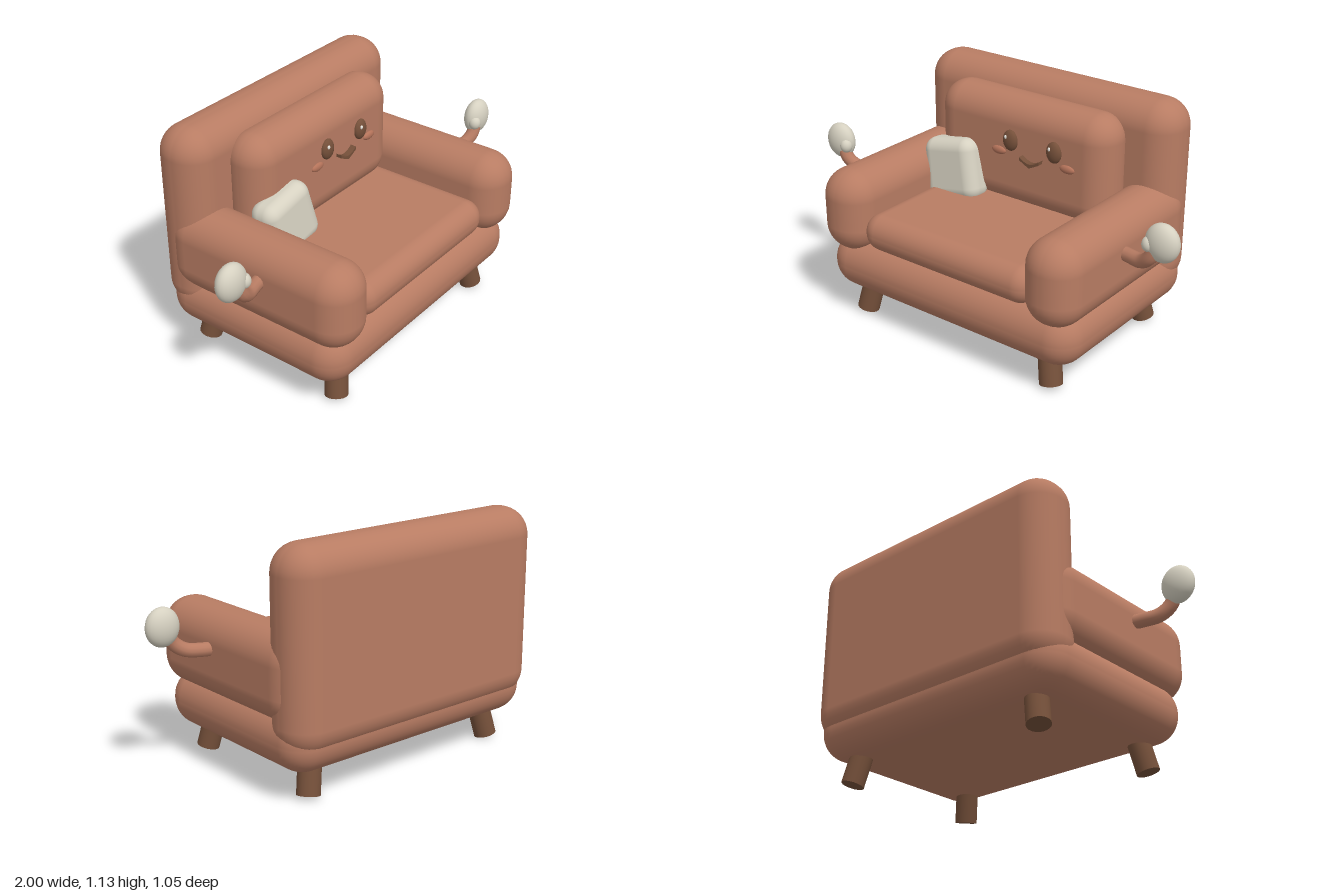
import * as THREE from 'three';
import { RoundedBoxGeometry } from 'three/addons/geometries/RoundedBoxGeometry.js';

const mat = (name, color) => Object.assign(new THREE.MeshStandardMaterial({ color }), { name });

export function createModel() {
  const fabric = mat('terracotta fabric', 0xb87c63);
  const wood = mat('dark wood', 0x75503a);
  const cream = mat('cream', 0xd6d1c1);
  const blush = mat('blush', 0xb4735a);
  const white = mat('eye highlight', 0xf4f1ea);

  const model = new THREE.Group();
  model.name = 'armchair';

  const add = (name, geometry, material, parent = model) => {
    const mesh = new THREE.Mesh(geometry, material);
    mesh.name = name;
    parent.add(mesh);
    return mesh;
  };
  // Soft upholstered block given by its extents on each axis
  const block = (name, [x0, x1], [y0, y1], [z0, z1], radius) => {
    const mesh = add(name, new RoundedBoxGeometry(x1 - x0, y1 - y0, z1 - z0, 5, radius), fabric);
    mesh.position.set((x0 + x1) / 2, (y0 + y1) / 2, (z0 + z1) / 2);
    return mesh;
  };
  const ellipsoid = (name, pos, radii, material, parent = model) => {
    const mesh = add(name, new THREE.SphereGeometry(1, 24, 16), material, parent);
    mesh.position.set(...pos);
    mesh.scale.set(...radii);
    return mesh;
  };

  // Upholstery
  block('base', [-0.705, 0.705], [0.135, 0.405], [-0.5, 0.49], 0.13);
  block('backrest', [-0.705, 0.705], [0.22, 1.125], [-0.525, -0.25], 0.13);
  block('backCushion', [-0.49, 0.49], [0.52, 1.06], [-0.33, -0.08], 0.122);
  block('seatCushion', [-0.48, 0.48], [0.383, 0.562], [-0.4, 0.48], 0.085);
  block('leftArmrest', [0.447, 0.72], [0.34, 0.745], [-0.47, 0.525], 0.133);
  block('rightArmrest', [-0.72, -0.447], [0.34, 0.745], [-0.47, 0.525], 0.133);

  // Splayed legs
  const up = new THREE.Vector3(0, 1, 0);
  for (const sx of [-1, 1]) {
    for (const sz of [-1, 1]) {
      const foot = new THREE.Vector3(sx * 0.548, 0.013, sz * 0.375);
      const axis = new THREE.Vector3(-sx * 0.2, 1, -sz * 0.17).normalize();
      const leg = add(`${sz > 0 ? 'front' : 'back'}${sx > 0 ? 'Left' : 'Right'}Leg`,
        new THREE.CylinderGeometry(0.053, 0.053, 0.24, 20), wood);
      leg.quaternion.setFromUnitVectors(up, axis);
      leg.position.copy(foot).addScaledVector(axis, 0.12);
    }
  }

  // Curled limbs with mitten hands
  for (const s of [-1, 1]) {
    const limb = new THREE.Group();
    limb.name = s > 0 ? 'leftLimb' : 'rightLimb';
    model.add(limb);
    const path = new THREE.CatmullRomCurve3([
      [0.66, 0.59, 0.08], [0.75, 0.59, 0.1], [0.82, 0.6, 0.125], [0.87, 0.64, 0.143], [0.9, 0.7, 0.14],
    ].map(([x, y, z]) => new THREE.Vector3(s * x, y, z)));
    add('forearm', new THREE.TubeGeometry(path, 24, 0.032, 12), fabric, limb);
    ellipsoid('hand', [s * 0.92, 0.717, 0.132], [0.08, 0.088, 0.052], cream, limb);
    ellipsoid('thumb', [s * 0.867, 0.706, 0.155], [0.03, 0.035, 0.03], cream, limb);
  }

  // Throw pillow, slightly narrower toward its top
  const pillowShape = new RoundedBoxGeometry(0.3, 0.3, 0.15, 5, 0.06);
  const p = pillowShape.attributes.position;
  for (let i = 0; i < p.count; i++) p.setX(i, p.getX(i) * (1 - 0.25 * p.getY(i)));
  pillowShape.computeBoundingSphere();
  const pillow = add('throwPillow', pillowShape, cream);
  pillow.position.set(-0.35, 0.655, -0.065);
  pillow.rotation.set(-0.1, 0, 0.19);

  // Face on the back cushion
  const face = new THREE.Group();
  face.name = 'face';
  model.add(face);
  for (const x of [-0.028, 0.218]) {
    ellipsoid('eye', [x, 0.868, -0.077], [0.04, 0.051, 0.024], wood, face);
    ellipsoid('eyeHighlight', [x - 0.013, 0.887, -0.058], [0.008, 0.01, 0.006], white, face);
  }
  for (const x of [-0.097, 0.29]) {
    ellipsoid('cheek', [x, 0.804, -0.08], [0.04, 0.02, 0.014], blush, face);
  }
  const smile = new THREE.Shape();
  smile.moveTo(0.042, 0.812);
  smile.lineTo(0.042, 0.796);
  smile.quadraticCurveTo(0.07, 0.782, 0.097, 0.768);
  smile.quadraticCurveTo(0.125, 0.782, 0.152, 0.796);
  smile.lineTo(0.152, 0.812);
  smile.quadraticCurveTo(0.125, 0.79, 0.097, 0.788);
  smile.quadraticCurveTo(0.07, 0.79, 0.042, 0.812);
  const mouth = add('mouth', new THREE.ExtrudeGeometry(smile, { depth: 0.035, bevelEnabled: false }), wood, face);
  mouth.position.z = -0.085;

  return model;
}
